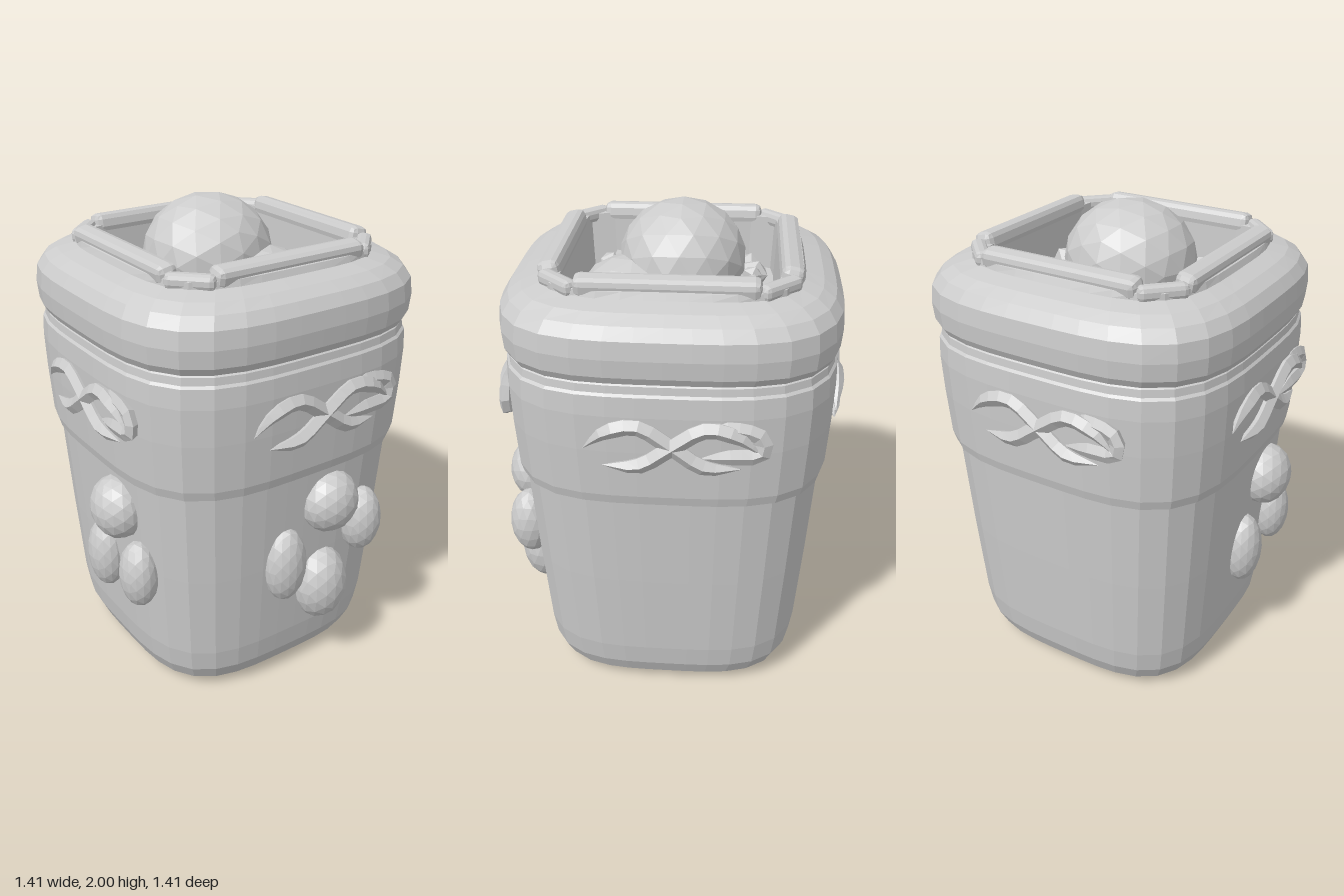
import * as THREE from 'three';
import { RoundedBoxGeometry } from 'three/addons/geometries/RoundedBoxGeometry.js';

const material = new THREE.MeshStandardMaterial({ color: 0xcccccc, flatShading: true });

function add(parent, name, geometry, position = [0, 0, 0], scale = [1, 1, 1]) {
  const mesh = new THREE.Mesh(geometry, material);
  mesh.name = name;
  mesh.position.set(...position);
  mesh.scale.set(...scale);
  parent.add(mesh);
  return mesh;
}

// Skin over rounded-square rings; each row is [height, half width, squareness]
function loft(rows, segments = 40) {
  const positions = [], index = [];
  rows.forEach(([y, half, n], i) => {
    for (let j = 0; j < segments; j++) {
      const a = (j / segments) * Math.PI * 2, c = Math.cos(a), s = Math.sin(a);
      const r = half * (Math.abs(c) ** n + Math.abs(s) ** n) ** (-1 / n);
      positions.push(c * r, y, s * r);
      if (i === 0) continue;
      const k = (j + 1) % segments, lo = (i - 1) * segments, hi = i * segments;
      index.push(lo + j, hi + j, lo + k, lo + k, hi + j, hi + k);
    }
  });
  const g = new THREE.BufferGeometry();
  g.setAttribute('position', new THREE.Float32BufferAttribute(positions, 3));
  g.setIndex(index);
  g.computeVertexNormals();
  return g;
}

// Flattened ribbon strand that narrows to a point at both ends
function strand(points, depth) {
  const curve = new THREE.CatmullRomCurve3(points.map(([x, y, z = 0]) => new THREE.Vector3(x, y, z)));
  const steps = 14, sides = 5;
  const g = new THREE.TubeGeometry(curve, steps, 0.034, sides, false);
  const pos = g.attributes.position, v = new THREE.Vector3();
  for (let i = 0; i < pos.count; i++) {
    const t = Math.floor(i / (sides + 1)) / steps;
    const taper = Math.min(1, Math.sin(t * Math.PI) * 1.8);
    v.fromBufferAttribute(pos, i).lerp(curve.getPointAt(t), 1 - taper);
    pos.setXYZ(i, v.x, v.y, v.z * depth);
  }
  g.computeVertexNormals();
  return g;
}

function seeded(seed) {
  return () => (seed = (seed * 16807) % 2147483647) / 2147483647;
}

export function createModel() {
  const model = new THREE.Group();
  model.name = 'jar';
  const jar = new THREE.Group();
  jar.name = 'container';
  jar.position.set(0.015, 0, -0.02);
  model.add(jar);

  // Tapered body
  add(jar, 'body', loft([
    [0, 0, 3.6], [0, 0.34, 3.6], [0.015, 0.44, 3.6], [0.05, 0.515, 3.6], [0.12, 0.547, 3.6],
    [0.22, 0.562, 3.6], [0.6, 0.59, 3.6], [1.0, 0.615, 3.6], [1.03, 0.61, 3.6],
  ]));

  // Raised band round the upper body
  add(jar, 'band', loft([
    [1.01, 0.6, 3.6], [1.01, 0.63, 3.6], [1.05, 0.64, 3.6], [1.25, 0.652, 3.6], [1.4, 0.657, 3.6],
    [1.48, 0.653, 3.6], [1.49, 0.645, 3.6], [1.52, 0.642, 3.6], [1.54, 0.62, 3.6],
  ]));

  // Rolled lid with a square recess in its top
  add(jar, 'lid', loft([
    [1.52, 0.62, 3.6], [1.53, 0.645, 3.6], [1.56, 0.661, 3.6], [1.63, 0.667, 3.6], [1.7, 0.66, 3.6],
    [1.745, 0.63, 3.6], [1.775, 0.58, 3.8], [1.795, 0.51, 4], [1.82, 0.5, 4.5], [1.83, 0.46, 7],
    [1.825, 0.41, 24], [1.6, 0.4, 24], [1.58, 0, 24],
  ]));

  // Four bars framing the recess, joined by lower corner pieces
  for (let i = 0; i < 4; i++) {
    const side = new THREE.Group();
    side.name = 'rimSide';
    side.rotation.y = (i * Math.PI) / 2;
    jar.add(side);
    const bar = add(side, 'rimBar', new RoundedBoxGeometry(0.68, 0.08, 0.085, 1, 0.025), [0, 1.825, 0.45]);
    bar.rotation.x = 0.2;
    const corner = add(side, 'rimCorner', new RoundedBoxGeometry(0.19, 0.06, 0.06, 1, 0.02), [0.405, 1.815, 0.405]);
    corner.rotation.y = Math.PI / 4;
  }

  // Crossed ribbon on each face
  const over = [[-0.33, 0], [-0.25, 0.07], [-0.13, 0.1], [0, 0.02], [0.12, -0.06], [0.26, -0.065]];
  const loop = [[0.1, 0.05], [0.2, 0.1], [0.33, 0.07], [0.33, 0], [0.22, -0.015], [0.1, -0.03]];
  for (let i = 0; i < 4; i++) {
    const ribbon = new THREE.Group();
    ribbon.name = 'ribbon';
    ribbon.rotation.y = (i * Math.PI) / 2;
    jar.add(ribbon);
    const knot = new THREE.Group();
    knot.name = 'ribbonKnot';
    knot.position.set(0.03, 1.265, 0.655);
    ribbon.add(knot);
    add(knot, 'ribbonStrand', strand(over, 1));
    add(knot, 'ribbonStrand', strand(over.map(([x, y]) => [-x, y, 0.004]).reverse(), 1));
    add(knot, 'ribbonLoop', strand(loop.map(([x, y]) => [x, y, -0.008]), 0.7));
  }

  // Oval pads: [sideways, height, half width, half height, depth]
  const round = new THREE.IcosahedronGeometry(1, 2);
  const top = [0.14, 0.84, 0.13, 0.135, 0.11];
  const frontPads = [top, [-0.07, 0.6, 0.095, 0.17, 0.08], [0.325, 0.69, 0.092, 0.15, 0.09], [0.13, 0.43, 0.122, 0.17, 0.11]];
  const sidePads = [top, [-0.01, 0.535, 0.095, 0.165, 0.08], [0.27, 0.58, 0.092, 0.15, 0.08]];
  for (const [x, y, w, h, d] of frontPads) {
    add(model, 'frontPad', round, [x, y, 0.545 + y * 0.05], [w, h, d]);
  }
  for (const [z, y, w, h, d] of sidePads) {
    add(model, 'sidePad', round, [-0.555 - y * 0.05, y, z], [d, h, w]);
  }

  // Balls resting in the recess
  add(model, 'largeBall', round, [-0.03, 1.765, -0.045], [0.268, 0.235, 0.255]);
  add(model, 'smallBall', round, [0.095, 1.6, 0.14], [0.24, 0.21, 0.24]);
  add(model, 'rearLump', round, [0.0, 1.56, -0.2], [0.24, 0.17, 0.2]);

  // Rough crumbs filling the gaps round the balls
  const random = seeded(17);
  const crumb = new THREE.IcosahedronGeometry(1, 0);
  for (let i = 0; i < 36; i++) {
    const a = (i / 36) * Math.PI * 2;
    const reach = 0.3 / Math.max(Math.abs(Math.cos(a)), Math.abs(Math.sin(a)));
    const size = 0.04 + random() * 0.05;
    const piece = add(jar, 'crumb', crumb,
      [Math.cos(a) * reach, 1.6 + random() * 0.07, Math.sin(a) * reach], [size, size * 0.8, size * 1.2]);
    piece.rotation.set(random() * 3, random() * 3, random() * 3);
  }
  return model;
}
